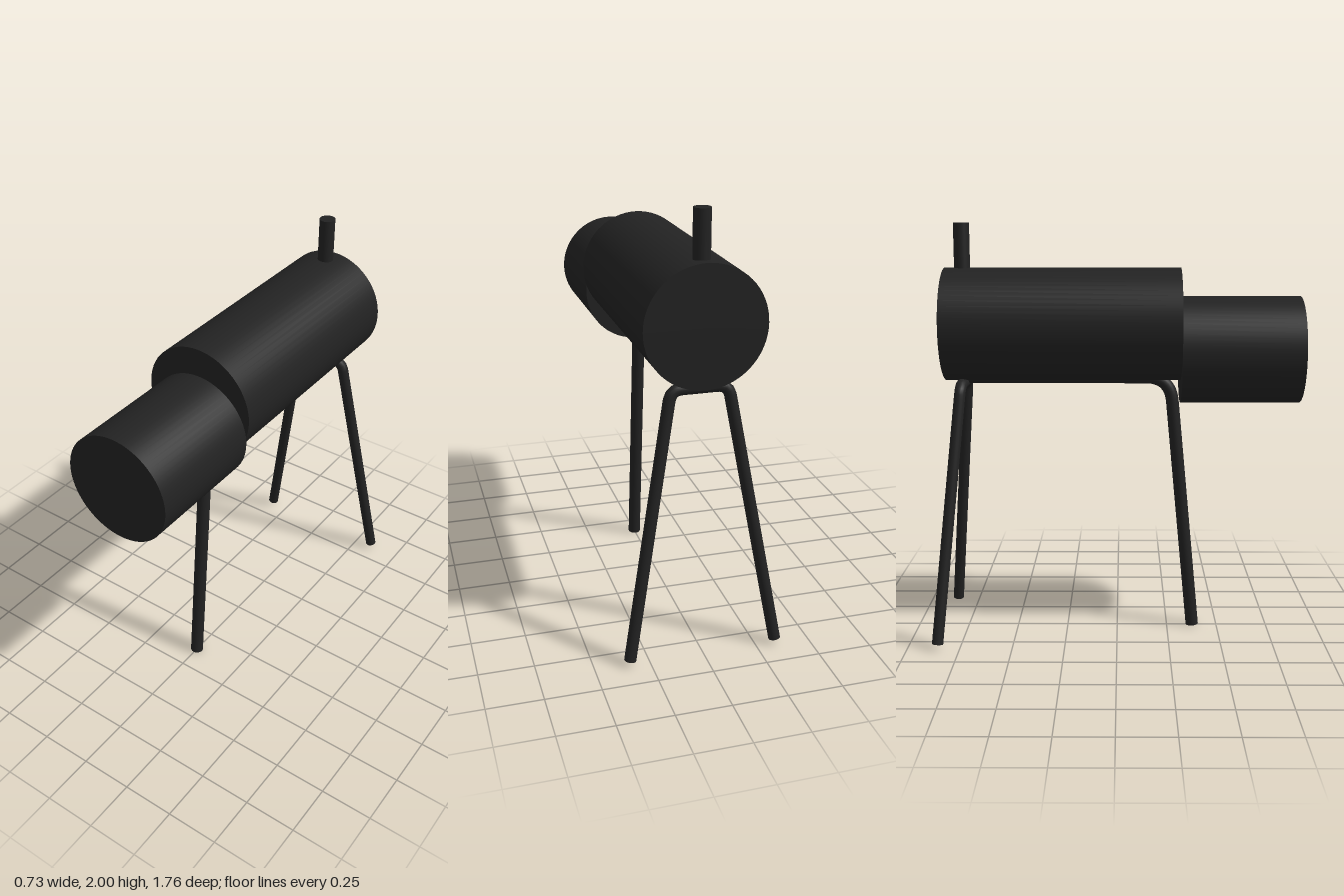
import * as THREE from 'three';

const material = new THREE.MeshStandardMaterial({ color: 0x222222 });
const V = (x, y, z) => new THREE.Vector3(x, y, z);

// Bent pipe through the given corners, each inner corner rounded, both ends capped
function pipe(name, corners, bend, radius) {
  const path = new THREE.CurvePath();
  let from = corners[0];
  for (let i = 1; i < corners.length - 1; i++) {
    const c = corners[i];
    const a = c.clone().add(corners[i - 1].clone().sub(c).setLength(bend));
    const b = c.clone().add(corners[i + 1].clone().sub(c).setLength(bend));
    path.add(new THREE.LineCurve3(from, a));
    path.add(new THREE.QuadraticBezierCurve3(a, c, b));
    from = b;
  }
  path.add(new THREE.LineCurve3(from, corners[corners.length - 1]));

  const group = new THREE.Group();
  group.name = name;
  const tube = new THREE.Mesh(new THREE.TubeGeometry(path, 120, radius, 20), material);
  tube.name = name + 'Tube';
  group.add(tube);
  for (const t of [0, 1]) {
    const cap = new THREE.Mesh(new THREE.CircleGeometry(radius, 20), material);
    cap.name = name + 'Cap';
    cap.position.copy(path.getPoint(t));
    const out = path.getTangent(t).multiplyScalar(t ? 1 : -1);
    cap.quaternion.setFromUnitVectors(V(0, 0, 1), out);
    group.add(cap);
  }
  return group;
}

// Cylinder lying along z between two z positions
function barrel(name, radius, y, z0, z1) {
  const geometry = new THREE.CylinderGeometry(radius, radius, z1 - z0, 64).rotateX(Math.PI / 2);
  const mesh = new THREE.Mesh(geometry, material);
  mesh.name = name;
  mesh.position.set(0, y, (z0 + z1) / 2);
  return mesh;
}

export function createModel() {
  const model = new THREE.Group();
  model.name = 'barrelAnimal';

  // Body and the lower-set head
  model.add(barrel('body', 0.27, 1.52, -0.825, 0.305));
  model.add(barrel('head', 0.257, 1.398, 0.305, 0.88));

  // Upright tail
  const tail = new THREE.Mesh(new THREE.CylinderGeometry(0.038, 0.038, 0.25, 32), material);
  tail.name = 'tail';
  tail.position.set(0, 1.875, -0.742);
  model.add(tail);

  // Single front leg, bent back into a spine under the body
  model.add(pipe('frontLeg', [V(0, 0.003, 0.378), V(0, 1.263, 0.258), V(0, 1.263, -0.725)], 0.12, 0.031));

  // Rear legs: one hoop crossing under the spine
  model.add(pipe('rearLegs', [
    V(-0.34, 0.024, -0.855), V(-0.128, 1.237, -0.745), V(0.128, 1.237, -0.745), V(0.34, 0.024, -0.855),
  ], 0.05, 0.027));

  return model;
}
